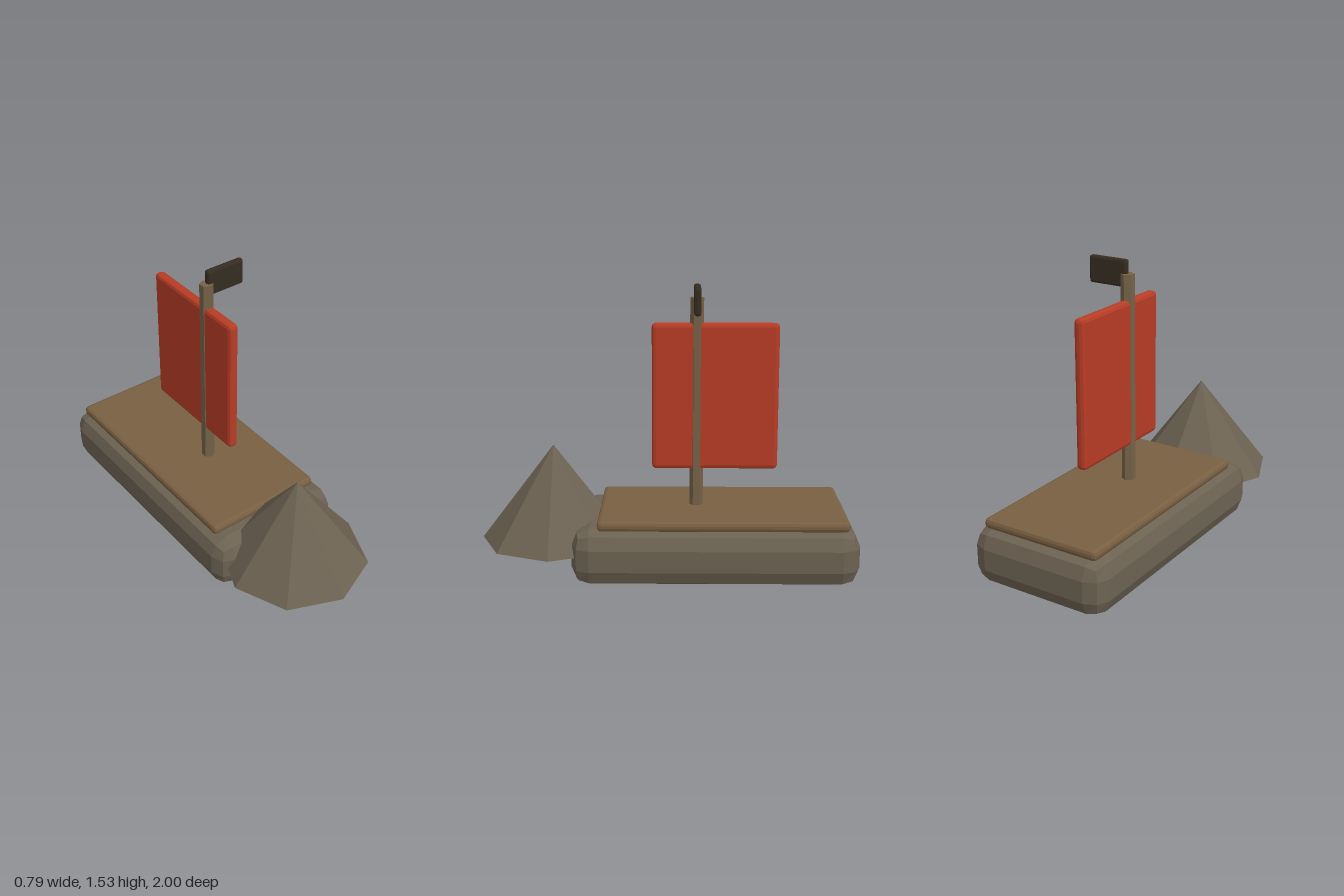
import * as THREE from 'three';
import { RoundedBoxGeometry } from 'three/addons/geometries/RoundedBoxGeometry.js';

const paint = (name, color) => {
  const m = new THREE.MeshStandardMaterial({ color });
  m.name = name;
  return m;
};

// Facet normals for the low-poly look
function faceted(geometry) {
  const g = geometry.index ? geometry.toNonIndexed() : geometry;
  g.clearGroups();
  g.computeVertexNormals();
  return g;
}

export function createModel() {
  const group = new THREE.Group();
  group.name = 'sailingBarge';

  const hullGrey = paint('weathered hull', 0x6c6252);
  const deckBrown = paint('deck wood', 0x785f41);
  const mastBrown = paint('mast wood', 0x756248);
  const sailRed = paint('red sail', 0xb83c25);
  const flagDark = paint('dark flag', 0x352c21);

  const add = (name, geometry, material, x, y, z) => {
    const mesh = new THREE.Mesh(faceted(geometry), material);
    mesh.name = name;
    mesh.position.set(x, y, z);
    group.add(mesh);
  };

  // Box with bevelled edges, given by its limits on each axis
  const slab = (name, material, [x0, x1], [y0, y1], [z0, z1], bevel) =>
    add(name, new RoundedBoxGeometry(x1 - x0, y1 - y0, z1 - z0, 1, bevel), material,
      (x0 + x1) / 2, (y0 + y1) / 2, (z0 + z1) / 2);

  slab('hull', hullGrey, [-0.39, 0.39], [0, 0.303], [-1, 0.493], 0.094);
  slab('deck', deckBrown, [-0.335, 0.335], [0.292, 0.346], [-0.945, 0.358], 0.02);

  // Eight-sided pyramid bow
  add('bow', new THREE.ConeGeometry(0.393, 0.517, 8), hullGrey, 0, 0.4135, 0.607);

  // Six-sided mast running through the sail
  add('mast', new THREE.CylinderGeometry(0.036, 0.036, 1.16, 6), mastBrown, 0, 0.88, -0.156);

  slab('sail', sailRed, [-0.028, 0.028], [0.546, 1.327], [-0.587, 0.08], 0.02);
  slab('flag', flagDark, [0, 0.223], [1.39, 1.532], [-0.174, -0.138], 0.012);

  return group;
}
